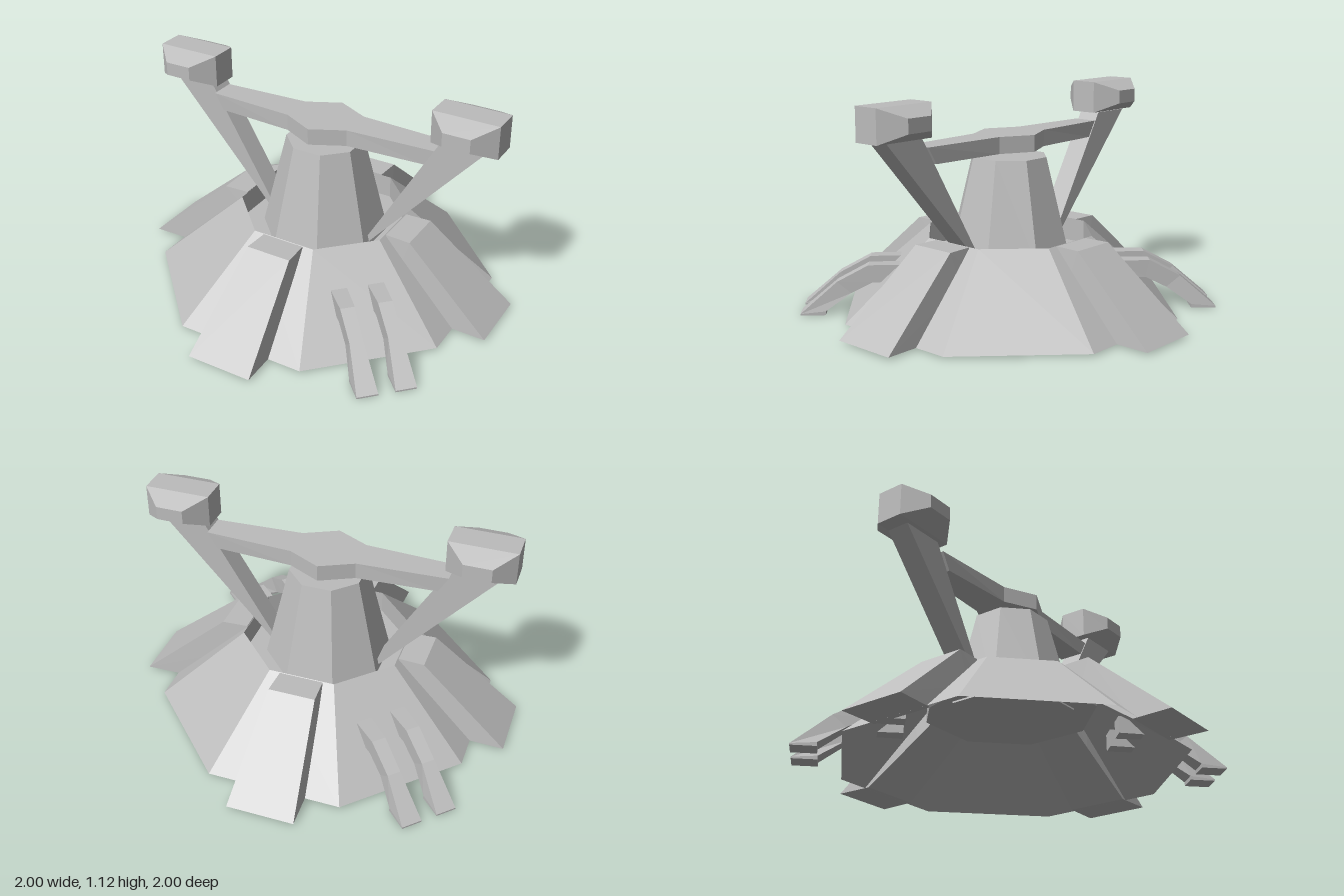
import * as THREE from 'three';

const grey = new THREE.MeshStandardMaterial({ color: 0xbcbcbc });
grey.name = 'plain grey';
grey.flatShading = true;
grey.side = THREE.DoubleSide;

// Solid through four-cornered sections running along +z.
// Section: [zTop, yTop, zBottom, yBottom, halfWidthTop, halfWidthBottom]
function loft(sections) {
  const loops = sections.map(([zt, yt, zb, yb, wt, wb = wt]) => [
    [wt, yt, zt], [-wt, yt, zt], [-wb, yb, zb], [wb, yb, zb],
  ]);
  const pos = [];
  const quad = (a, b, c, d) => [a, b, c, a, c, d].forEach((p) => pos.push(...p));
  for (let i = 0; i < loops.length - 1; i++) {
    const a = loops[i], b = loops[i + 1];
    for (let j = 0; j < 4; j++) {
      const k = (j + 1) % 4;
      quad(a[j], a[k], b[k], b[j]);
    }
  }
  const last = loops[loops.length - 1];
  quad(...last);
  quad(...[...loops[0]].reverse());
  const geo = new THREE.BufferGeometry();
  geo.setAttribute('position', new THREE.Float32BufferAttribute(pos, 3));
  geo.computeVertexNormals();
  return geo;
}

// Octagonal surface from [inradius, y] points, flats facing the axes
function octagon(points) {
  const k = 1 / Math.cos(Math.PI / 8);
  const profile = points.map(([r, y]) => new THREE.Vector2(r * k, y));
  return new THREE.LatheGeometry(profile, 8, Math.PI / 8);
}

export function createModel() {
  const model = new THREE.Group();
  model.name = 'station';

  const add = (name, geo, parent = model) => {
    const mesh = new THREE.Mesh(geo, grey);
    mesh.name = name;
    parent.add(mesh);
    return mesh;
  };
  const turned = (name, angle) => {
    const group = new THREE.Group();
    group.name = name;
    group.rotation.y = angle;
    model.add(group);
    return group;
  };

  // Thin skirt with a sunken floor, and the tower standing in it
  add('skirt', octagon([[0.825, 0.01], [0.41, 0.4], [0.41, 0.28], [0, 0.28]]));
  add('tower', octagon([[0, 0.27], [0.305, 0.27], [0.185, 0.79], [0, 0.79]]));

  // Four buttresses running down the skirt, flat on the ground outside it
  const buttress = loft([
    [0.415, 0.4, 0.415, 0.29, 0.113, 0.125],
    [0.55, 0.4, 0.5, 0.226, 0.12, 0.135],
    [1.0, 0.012, 0.8, 0.01, 0.172, 0.165],
  ]);
  for (let i = 0; i < 4; i++) {
    add('buttress', buttress, turned('buttressMount', (i * Math.PI) / 2));
  }

  // Two pairs of bent feet on opposite corners
  const foot = loft([
    [0.53, 0.255, 0.53, 0.165, 0.042],
    [0.72, 0.255, 0.7, 0.165, 0.036],
    [0.88, 0.17, 0.81, 0.11, 0.034],
    [1.068, 0.008, 0.94, 0.02, 0.052],
    [1.068, 0, 0.94, 0, 0.052],
  ]);
  for (const angle of [Math.PI / 4, Math.PI * 1.25]) {
    const pair = turned('footPair', angle);
    for (const x of [-0.08, 0.107]) add('foot', foot, pair).position.x = x;
  }

  // Leaning struts with a faceted pod on each
  const strut = loft([
    [0.262, 0.285, 0.285, 0.285, 0.06],
    [0.33, 0.4, 0.385, 0.4, 0.06],
    [0.655, 0.953, 0.876, 0.953, 0.06],
  ]);
  const pod = loft([
    [-0.17, 1.075, -0.17, 1.005, 0.07],
    [-0.07, 1.122, -0.07, 0.955, 0.17],
    [0.07, 1.122, 0.07, 0.955, 0.17],
    [0.17, 1.075, 0.17, 1.005, 0.07],
  ]);
  for (const side of [1, -1]) {
    const arm = turned(side > 0 ? 'leftArm' : 'rightArm', (side * Math.PI) / 2);
    add('strut', strut, arm).position.x = -0.01;
    add('pod', pod).position.x = side * 0.78;
  }

  // Crossbeam, widest over the tower
  const outline = [
    [-0.63, -0.065], [-0.17, -0.088], [0, -0.172], [0.17, -0.088], [0.63, -0.065],
    [0.63, 0.065], [0.17, 0.088], [0, 0.172], [-0.17, 0.088], [-0.63, 0.065],
  ];
  const shape = new THREE.Shape(outline.map(([x, y]) => new THREE.Vector2(x, y)));
  const beam = new THREE.ExtrudeGeometry(shape, { depth: 0.085, bevelEnabled: false });
  beam.rotateX(-Math.PI / 2);
  // Slant the ends to follow the struts
  const p = beam.attributes.position;
  for (let i = 0; i < p.count; i++) {
    if (Math.abs(p.getX(i)) > 0.5 && p.getY(i) < 0.04) p.setX(i, Math.sign(p.getX(i)) * 0.58);
  }
  beam.computeVertexNormals();
  add('crossbeam', beam).position.y = 0.825;

  return model;
}
